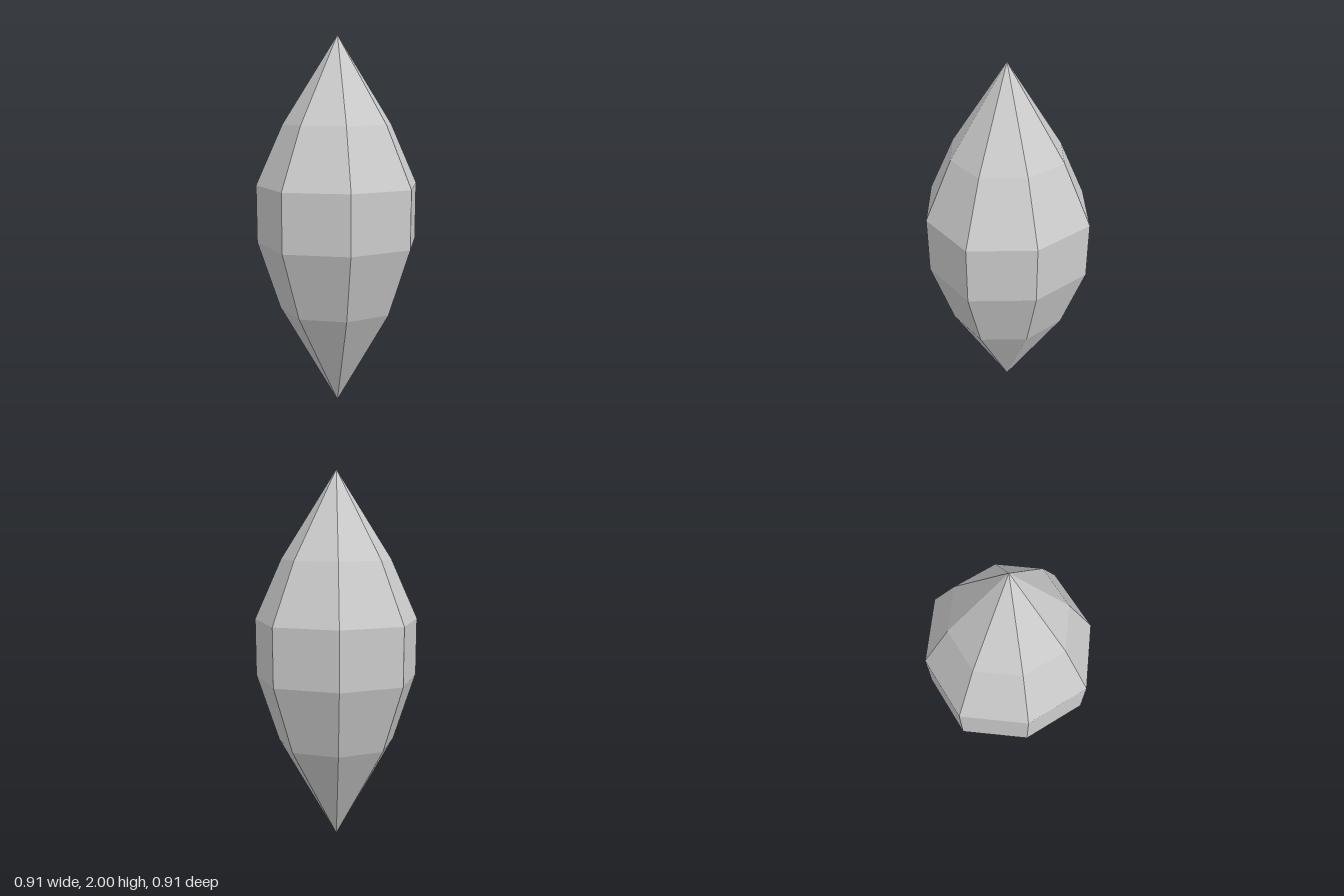
import * as THREE from 'three';

export function createModel() {
  const group = new THREE.Group();

  // Eight-sided crystal: tip, widening crown, straight girdle, tapering base
  const profile = [
    [0, 0], [0.332, 0.56], [0.456, 0.925], [0.456, 1.23], [0.306, 1.545], [0, 2],
  ].map(([r, y]) => new THREE.Vector2(r, y));
  const geometry = new THREE.LatheGeometry(profile, 8);

  // Pull the diagonal corners in slightly, so the octagon is not quite regular
  const pos = geometry.attributes.position;
  for (let i = 0; i < pos.count; i++) {
    const x = pos.getX(i), z = pos.getZ(i);
    if (Math.abs(x) > 0.01 && Math.abs(z) > 0.01) {
      pos.setX(i, x * 0.948);
      pos.setZ(i, z * 0.948);
    }
  }
  geometry.computeVertexNormals();

  const crystal = new THREE.Mesh(
    geometry,
    new THREE.MeshStandardMaterial({ color: 0xcccccc, flatShading: true })
  );
  crystal.name = 'crystal';
  group.add(crystal);
  return group;
}
